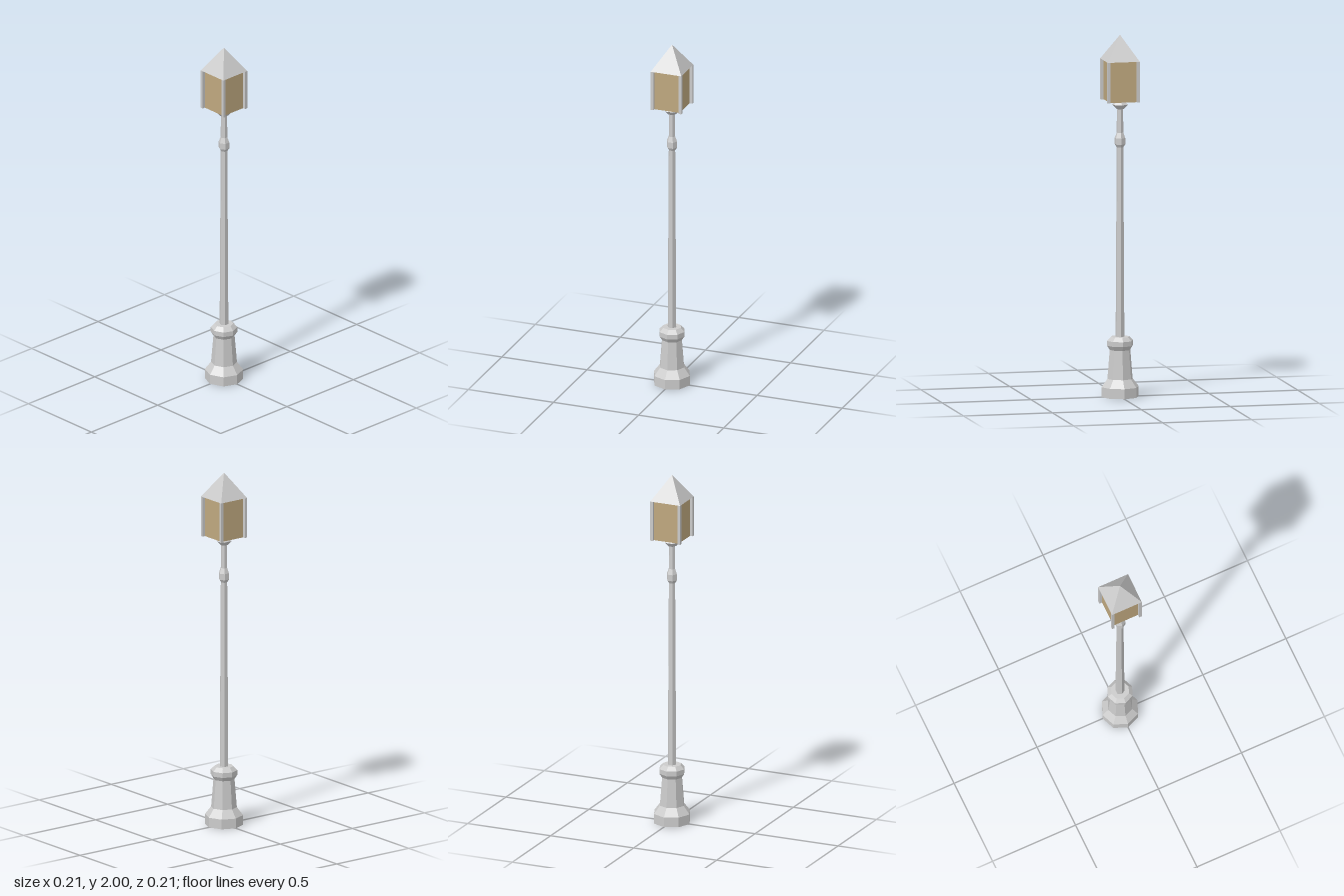
import * as THREE from 'three';

const metal = new THREE.MeshStandardMaterial({ color: 0xcccccc, flatShading: true });
const glass = new THREE.MeshStandardMaterial({ color: 0xbfa87f, flatShading: true });

export function createModel() {
  const lamp = new THREE.Group();
  lamp.name = 'streetLamp';

  function add(name, geometry, material = metal, parent = lamp) {
    const mesh = new THREE.Mesh(geometry, material);
    mesh.name = name;
    parent.add(mesh);
    return mesh;
  }

  // Faceted turned part from [radius, height] pairs, with corners on the x axis
  const turned = (profile, sides) => new THREE.LatheGeometry(
    profile.map(([r, y]) => new THREE.Vector2(r, y)), sides, Math.PI / 2);

  // Octagonal pedestal
  add('pedestal', turned([
    [0, 0], [0.105, 0], [0.105, 0.055], [0.071, 0.1], [0.058, 0.26],
    [0.073, 0.283], [0.073, 0.31], [0.052, 0.332], [0, 0.332],
  ], 8));

  // Hexagonal tapering pole, with a ring and a collar under the lantern
  add('pole', turned([[0.025, 0.33], [0.019, 1.385]], 6));
  add('poleRing', turned([
    [0.019, 1.378], [0.03, 1.395], [0.03, 1.43], [0.019, 1.46],
  ], 6));
  add('upperPole', turned([[0.019, 1.46], [0.018, 1.59]], 6));
  add('collar', turned([
    [0.018, 1.59], [0.025, 1.593], [0.045, 1.615], [0.025, 1.635], [0, 1.635],
  ], 6));

  // Lantern: tinted glass box, four corner posts and a pyramid roof
  const lantern = new THREE.Group();
  lantern.name = 'lantern';
  lamp.add(lantern);
  const bottom = 1.635, top = 1.86, half = 0.09, post = 0.016;
  const height = top - bottom, middle = (top + bottom) / 2;

  const pane = 2 * (half - post);
  add('lanternGlass', new THREE.BoxGeometry(pane, height, pane), glass, lantern)
    .position.y = middle;

  for (const x of [-1, 1]) {
    for (const z of [-1, 1]) {
      const offset = half - post / 2;
      add('cornerPost', new THREE.BoxGeometry(post, height, post), metal, lantern)
        .position.set(x * offset, middle, z * offset);
    }
  }

  const roofHeight = 2 - top;
  const roof = add('roof',
    new THREE.ConeGeometry(half * Math.SQRT2, roofHeight, 4), metal, lantern);
  roof.rotation.y = Math.PI / 4;
  roof.position.y = top + roofHeight / 2;

  return lamp;
}
